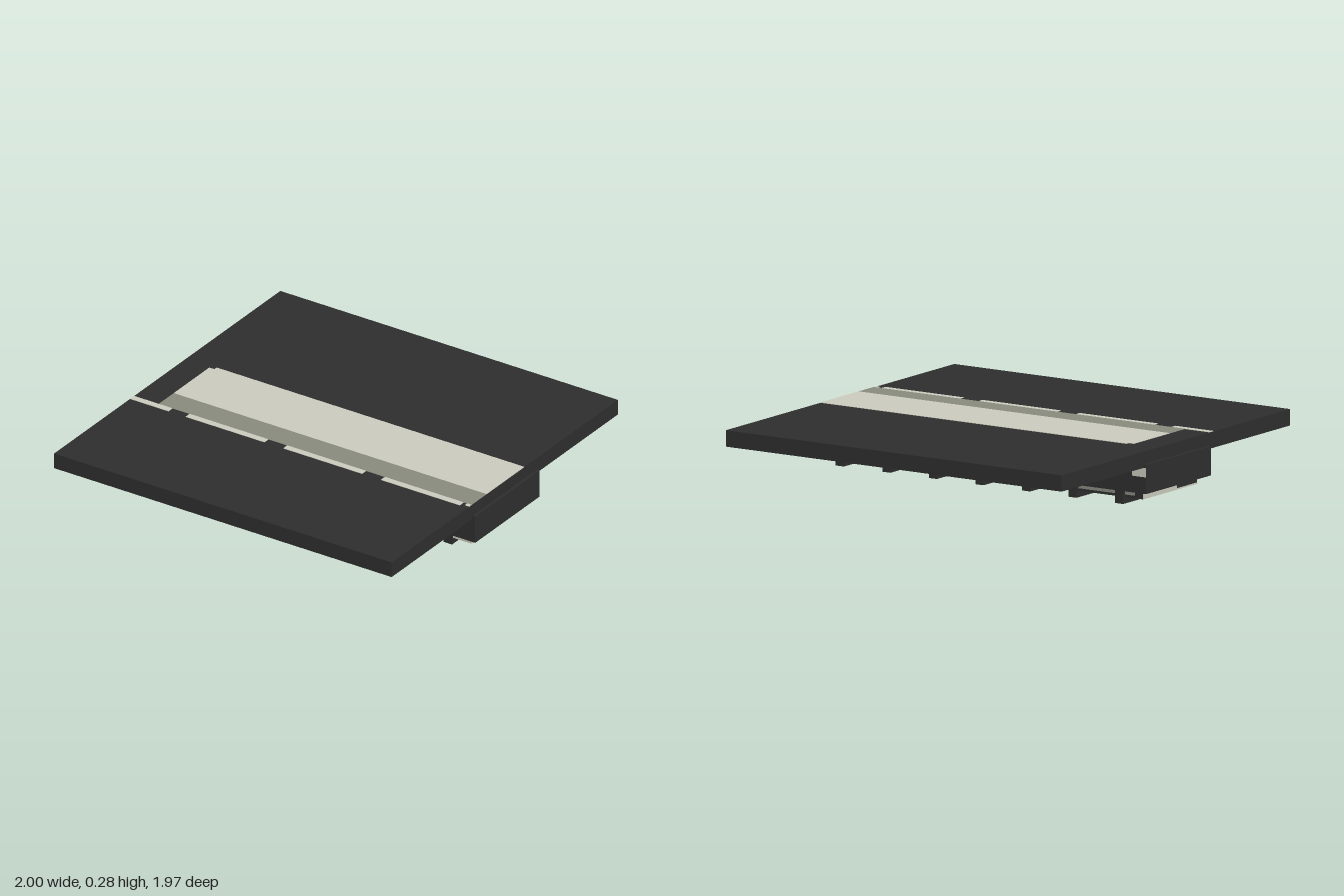
import * as THREE from 'three';

const material = (name, color) => {
  const m = new THREE.MeshStandardMaterial({ color });
  m.name = name;
  return m;
};

export function createModel() {
  const charcoal = material('charcoal', 0x2e2e2e);
  const cream = material('cream', 0xcacabd);
  const grey = material('grey', 0x888a7e);

  const model = new THREE.Group();
  model.name = 'slabOnBeam';

  // Box given by its extents on each axis
  const block = (name, mat, [x0, x1], [y0, y1], [z0, z1]) => {
    const geo = new THREE.BoxGeometry(x1 - x0, y1 - y0, z1 - z0);
    geo.translate((x0 + x1) / 2, (y0 + y1) / 2, (z0 + z1) / 2);
    const mesh = new THREE.Mesh(geo, mat);
    mesh.name = name;
    model.add(mesh);
    return mesh;
  };

  // Main slab and the beam beneath it
  block('slab', charcoal, [-0.985, 0.985], [0.2, 0.281], [-0.985, 0.985]);
  block('beam', charcoal, [-1, 1], [0.072, 0.217], [-0.28, 0.28]);

  // Wide painted band on top, with a notched corner at its closed end
  const top = [0.2805, 0.283];
  block('topBand', cream, [-0.84, 0.985], top, [-0.15, 0.16]);
  block('topBandEdge', cream, [-0.81, 0.985], top, [-0.17, -0.15]);
  block('topShade', grey, [-0.84, 0.985], top, [0.16, 0.29]);

  // Dashed line along the front of the band
  for (const span of [[-0.985, -0.76], [-0.66, -0.2], [-0.09, 0.37], [0.48, 0.94]]) {
    block('topDash', cream, span, top, [0.29, 0.325]);
  }
  block('topDash', cream, [0.96, 0.985], top, [0.29, 0.31]);

  // Dashes on the back face of the beam
  for (const span of [[0.04, 0.26], [-0.29, -0.03], [-0.53, -0.33], [-0.85, -0.59], [-1, -0.92]]) {
    block('beamDash', cream, span, [0.155, 0.2], [-0.282, -0.279]);
  }

  // Lower panel with its painted front, end and underside
  block('lowerPanel', charcoal, [-0.948, 0.948], [0.032, 0.073], [-0.23, 0.235]);
  block('panelFrontPaint', cream, [-0.3, 0.948], [0.032, 0.072], [0.234, 0.237]);
  for (const side of [-1, 1]) {
    const x = side > 0 ? [0.947, 0.95] : [-0.95, -0.947];
    block('panelEndPaint', cream, x, [0.032, 0.072], [-0.23, 0.06]);
    block('panelEndStripe', cream, x, [0.032, 0.039], [0.06, 0.235]);
  }
  block('panelBackPaint', grey, [-0.9, 0.9], [0.045, 0.062], [-0.232, -0.229]);
  block('panelUnderPaint', grey, [-0.9, 0.75], [0.03, 0.033], [-0.18, -0.05]);

  // Seven cross bars carrying the panel
  for (let i = -3; i <= 3; i++) {
    const x = i * 0.273;
    block('crossBar', charcoal, [x - 0.024, x + 0.024], [0, 0.073], [-0.246, 0.248]);
  }

  return model;
}
